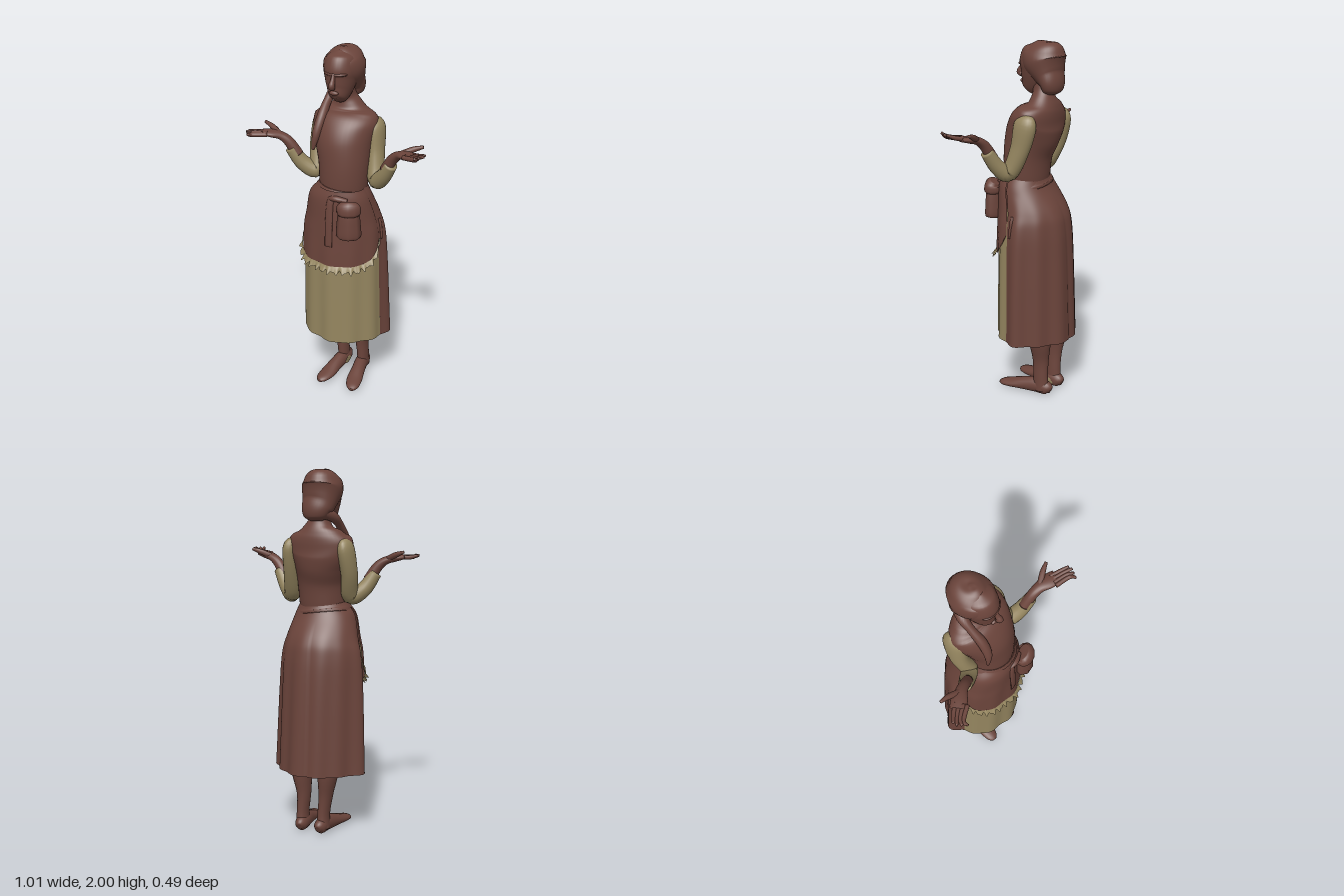
import * as THREE from 'three';

const V = (x, y, z) => new THREE.Vector3(x, y, z);
const UP = V(0, 1, 0), FRONT = V(0, 0, 1);

// Smooth (Catmull-Rom) sample of a table of rows, u in 0..1
function sample(rows, u) {
  const f = Math.min(Math.max(u, 0), 1) * (rows.length - 1);
  const i = Math.min(Math.floor(f), rows.length - 2), t = f - i;
  const at = (k) => rows[Math.min(Math.max(k, 0), rows.length - 1)];
  const [p, q, r, s] = [at(i - 1), at(i), at(i + 1), at(i + 2)];
  return q.map((b, k) => b + 0.5 * t * (r[k] - p[k] + t * (2 * p[k] - 5 * b + 4 * r[k] - s[k] + t * (3 * (b - r[k]) + s[k] - p[k]))));
}

function build(pos, index) {
  const g = new THREE.BufferGeometry();
  g.setAttribute('position', new THREE.Float32BufferAttribute(pos, 3));
  g.setIndex(index);
  g.computeVertexNormals();
  return g;
}

// Closed round form along rows of [x, y, z, halfWidth, halfDepth]
function limb(rows, ref = FRONT, seg = 20, steps = 6) {
  const n = (rows.length - 1) * steps, pos = [], index = [];
  for (let i = 0; i <= n; i++) {
    const [x, y, z, w, h] = sample(rows, i / n);
    const a = sample(rows, (i - 0.5) / n), b = sample(rows, (i + 0.5) / n);
    const t = V(b[0] - a[0], b[1] - a[1], b[2] - a[2]).normalize();
    const side = ref.clone().cross(t).normalize(), nor = t.clone().cross(side);
    for (let j = 0; j < seg; j++) {
      const q = (j / seg) * Math.PI * 2;
      const p = V(x, y, z).addScaledVector(side, Math.cos(q) * w).addScaledVector(nor, Math.sin(q) * h);
      pos.push(p.x, p.y, p.z);
      const k = (j + 1) % seg, o = i * seg;
      if (i < n) index.push(o + j, o + k, o + seg + k, o + j, o + seg + k, o + seg + j);
    }
  }
  const c0 = pos.length / 3;
  pos.push(...rows[0].slice(0, 3), ...rows[rows.length - 1].slice(0, 3));
  for (let j = 0; j < seg; j++) {
    const k = (j + 1) % seg;
    index.push(c0, k, j, c0 + 1, n * seg + j, n * seg + k);
  }
  return build(pos, index);
}

// Open sheet from a function (s, t) -> Vector3
function sheet(fn, ns, nt) {
  const pos = [], index = [];
  for (let i = 0; i <= nt; i++) for (let j = 0; j <= ns; j++) {
    const p = fn(j / ns, i / nt);
    pos.push(p.x, p.y, p.z);
    const a = i * (ns + 1) + j, b = a + ns + 1;
    if (i < nt && j < ns) index.push(a, b, a + 1, b, b + 1, a + 1);
  }
  return build(pos, index);
}

// Skirt profile: y, centre x, centre z, half width, half depth
const SKIRT = [
  [1.28, 0, 0.04, 0.13, 0.12], [1.22, -0.012, 0.035, 0.17, 0.138], [1.1, -0.015, 0, 0.2, 0.178],
  [1.0, -0.017, -0.01, 0.218, 0.193], [0.8, -0.017, -0.012, 0.225, 0.205], [0.355, -0.014, -0.018, 0.235, 0.218],
];
function skirtPoint(a, u, off = 0) {
  const [y, cx, cz, rx, rz] = sample(SKIRT, u);
  const d = Math.max(0, u - 0.25);
  const flare = 0.05 * d * Math.exp(-(((Math.abs(a) - 1.72) / 0.25) ** 2));
  const fold = d * (0.007 * Math.sin(a * 6 + 0.6) + 0.006 * Math.sin(a * 11 + 2 * u));
  const bustle = 0.022 * d * (Math.exp(-(((a - 2.9) / 0.28) ** 2)) + 0.5 * Math.exp(-(((a + 2.55) / 0.3) ** 2)));
  const r = off + fold + flare + bustle;
  return V(cx + (rx + r) * Math.sin(a), y, cz + (rz + r) * Math.cos(a));
}
const EDGE = 1.4;
const hem = (a) => 0.778 - 0.15 * Math.abs(a / EDGE) ** 6;

export function createModel() {
  const model = new THREE.Group();
  const brown = new THREE.MeshStandardMaterial({ color: 0x6b443b, side: THREE.DoubleSide });
  const tan = new THREE.MeshStandardMaterial({ color: 0x94855f, side: THREE.DoubleSide });
  const add = (name, geo, mat = brown) => {
    const m = new THREE.Mesh(geo, mat);
    m.name = name;
    model.add(m);
    return m;
  };
  const ball = (name, x, y, z, rx, ry, rz, mat = brown) => {
    const m = add(name, new THREE.SphereGeometry(1, 24, 16), mat);
    m.position.set(x, y, z);
    m.scale.set(rx, ry, rz);
  };

  // Bodice, shoulders and neck
  add('bodice', limb([
    [0, 1.2, 0.03, 0.12, 0.11], [0, 1.28, 0.035, 0.132, 0.122], [0, 1.4, 0.028, 0.14, 0.13],
    [-0.01, 1.5, 0.005, 0.158, 0.142], [-0.018, 1.58, -0.025, 0.18, 0.13], [-0.019, 1.635, -0.05, 0.176, 0.1],
    [-0.02, 1.668, -0.058, 0.135, 0.082], [-0.02, 1.7, -0.058, 0.082, 0.066],
    [-0.025, 1.745, -0.052, 0.054, 0.056], [-0.03, 1.81, -0.035, 0.052, 0.055],
  ], FRONT, 40));

  // Head, face and hair
  add('face', limb([
    [-0.033, 1.737, 0.045, 0.02, 0.03], [-0.033, 1.75, 0.036, 0.045, 0.055], [-0.034, 1.79, 0.012, 0.066, 0.08],
    [-0.035, 1.84, -0.008, 0.082, 0.1], [-0.035, 1.89, -0.02, 0.09, 0.112], [-0.035, 1.95, -0.035, 0.078, 0.098],
    [-0.035, 1.985, -0.04, 0.03, 0.05],
  ], FRONT, 32));
  add('nose', limb([[-0.034, 1.89, 0.083, 0.008, 0.008], [-0.034, 1.855, 0.094, 0.012, 0.014],
    [-0.034, 1.828, 0.108, 0.017, 0.018], [-0.034, 1.812, 0.092, 0.012, 0.012]]));
  ball('lips', -0.034, 1.785, 0.082, 0.026, 0.012, 0.013);
  ball('brow', -0.034, 1.882, 0.056, 0.066, 0.014, 0.038);
  add('hair', limb([
    [-0.025, 1.728, -0.11, 0.03, 0.02], [-0.025, 1.745, -0.11, 0.062, 0.046], [-0.025, 1.785, -0.11, 0.082, 0.06],
    [-0.032, 1.83, -0.085, 0.095, 0.082], [-0.035, 1.9, -0.053, 0.109, 0.123], [-0.035, 1.955, -0.05, 0.09, 0.108],
    [-0.035, 1.99, -0.045, 0.05, 0.062], [-0.035, 2.0, -0.045, 0.012, 0.015],
  ], FRONT, 32));
  add('ponytail', limb([
    [-0.06, 1.775, -0.115, 0.035, 0.035], [-0.1, 1.75, -0.06, 0.028, 0.03], [-0.112, 1.71, -0.005, 0.022, 0.024],
    [-0.115, 1.64, 0.065, 0.026, 0.026], [-0.125, 1.56, 0.108, 0.022, 0.02], [-0.14, 1.475, 0.118, 0.008, 0.008],
  ]));

  // Sleeves, forearms and open hands
  for (const s of [-1, 1]) {
    const sh = s < 0 ? 0.025 : 0;
    add('sleeve', limb([
      [s * (0.133 + sh), 1.63, -0.06, 0.02, 0.03], [s * (0.147 + sh), 1.585, -0.06, 0.043, 0.066],
      [s * (0.158 + sh), 1.45, -0.032, 0.044, 0.056], [s * (0.182 - sh * 0.5), 1.325, 0.02, 0.046, 0.046],
      [s * 0.235, 1.362, 0.056, 0.042, 0.042], [s * 0.29, 1.45, 0.083, 0.034, 0.034],
    ]), tan);
    add('forearmAndPalm', limb([
      [s * 0.255, 1.41, 0.072, 0.03, 0.032], [s * 0.298, 1.48, 0.086, 0.028, 0.028], [s * 0.34, 1.515, 0.1, 0.031, 0.022],
      [s * 0.385, 1.528, 0.12, 0.042, 0.019], [s * 0.428, 1.535, 0.142, 0.04, 0.013],
    ], UP));
    const lift = s > 0 ? 0.022 : 0;
    for (let k = 0; k < 4; k++) {
      const reach = k === 0 ? 0.5 : 0.517 - 0.016 * k;
      add('finger', limb([
        [s * (0.41 - k * 0.008), 1.535, 0.115 + k * 0.018, 0.012, 0.012],
        [s * 0.46, 1.533 + lift * 0.6, 0.142 + k * 0.019, 0.012, 0.012],
        [s * reach, 1.543 + lift, 0.168 + k * 0.021, 0.007, 0.007],
      ], UP, 10));
    }
    add('thumb', limb([[s * 0.35, 1.522, 0.098, 0.017, 0.017], [s * 0.405, 1.548, 0.074, 0.015, 0.015],
      [s * 0.455, 1.565, 0.061, 0.008, 0.008]], UP, 10));
  }

  // Gown with a pale front panel
  add('gownBack', sheet((p, t) => skirtPoint(EDGE + p * (Math.PI * 2 - 2 * EDGE) - (p > 0.5 ? Math.PI * 2 : 0), t), 80, 40));
  add('gownFront', sheet((p, t) => skirtPoint((p * 2 - 1) * EDGE, 0.5 + 0.5 * t), 60, 24), tan);

  // Apron with its ruffled hem, thinning out toward the sides
  const thin = (a) => 1 - 0.8 * Math.abs(a / EDGE) ** 6;
  add('apron', sheet((p, t) => {
    const a = (p * 2 - 1) * EDGE;
    return skirtPoint(a, t * hem(a), 0.003 + 0.009 * thin(a));
  }, 60, 30));
  add('apronRuffle', sheet((p, t) => {
    const a = (p * 2 - 1) * EDGE, k = thin(a);
    const wave = Math.sin(a * 38) + 0.6 * Math.sin(a * 61);
    return skirtPoint(a, hem(a) + k * (-0.012 + 0.022 * t + 0.004 * t * wave), 0.004 + k * (0.01 + t * (0.017 + 0.007 * wave)));
  }, 200, 4), tan);
  add('waistband', limb([[-0.006, 1.225, 0.037, 0.158, 0.136], [-0.003, 1.25, 0.039, 0.149, 0.133],
    [0, 1.28, 0.038, 0.132, 0.122]], FRONT, 40));

  // Belt pouch with flap, hanging sash and side tie
  const pouch = add('pouch', limb([
    [0, -0.005, 0, 0.048, 0.036], [0, 0.01, 0, 0.067, 0.052], [0, 0.08, 0, 0.064, 0.05], [0, 0.14, 0, 0.057, 0.044],
    [0, 0.155, 0, 0.05, 0.034],
  ], FRONT, 8));
  const flap = add('pouchFlap', limb([[0, 0.135, 0, 0.06, 0.047], [0, 0.15, 0, 0.066, 0.053],
    [0, 0.18, 0, 0.063, 0.048], [0, 0.198, -0.01, 0.045, 0.03]], FRONT, 12));
  for (const m of [pouch, flap]) {
    m.position.set(0.1, 1.04, 0.19);
    m.rotation.y = 0.35;
  }
  add('sash', limb([[0.02, 1.25, 0.165, 0.02, 0.012], [-0.01, 1.22, 0.182, 0.02, 0.012], [-0.014, 1.1, 0.196, 0.022, 0.008],
    [-0.014, 0.965, 0.203, 0.022, 0.006]], FRONT, 12));
  add('sashKnot', limb([[-0.03, 1.235, 0.17, 0.01, 0.01], [0.02, 1.245, 0.18, 0.018, 0.016],
    [0.08, 1.235, 0.165, 0.012, 0.012]], UP, 12));
  add('sideTie', limb([[0.188, 1.085, -0.005, 0.01, 0.012], [0.202, 1.05, -0.005, 0.008, 0.01],
    [0.212, 0.97, 0.002, 0.005, 0.008]], FRONT, 8));

  // Legs and shoes
  for (const s of [-1, 1]) {
    const o = s < 0 ? -0.02 : 0, f = s < 0 ? -0.008 : 0.004;
    add('leg', limb([
      [s * 0.075 + o, 0.5, -0.085, 0.065, 0.07], [s * 0.07 + o, 0.36, -0.1, 0.058, 0.07],
      [s * 0.057 + o, 0.22, -0.1, 0.039, 0.05], [s * 0.058 + f, 0.11, -0.103, 0.033, 0.046], [s * 0.058 + f, 0.03, -0.108, 0.036, 0.05],
    ]));
    add('shoe', limb([
      [s * 0.05 + f, 0.035, -0.168, 0.015, 0.02], [s * 0.052 + f, 0.045, -0.145, 0.034, 0.04],
      [s * 0.057 + f, 0.05, -0.08, 0.038, 0.046], [s * 0.068 + f, 0.043, -0.01, 0.04, 0.039],
      [s * 0.08 + f, 0.03, 0.07, 0.046, 0.026], [s * 0.094 + f, 0.022, 0.13, 0.036, 0.018],
      [s * 0.1 + f, 0.017, 0.157, 0.014, 0.009],
    ], UP));
  }
  ball('heelPatch', -0.028, 0.042, -0.09, 0.004, 0.02, 0.04, tan);
  return model;
}
